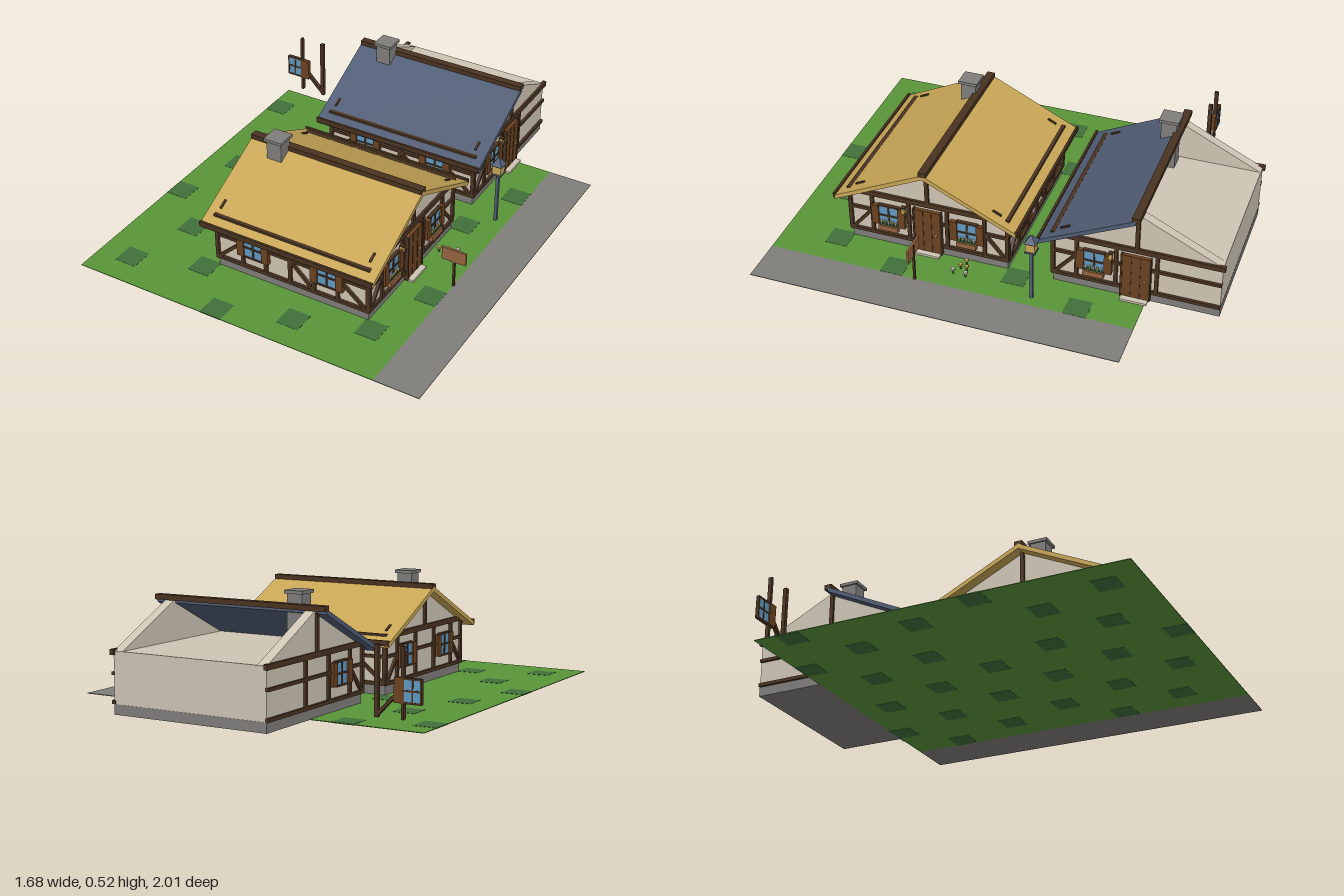
import * as THREE from 'three';

const mat = (name, color) => {
  const m = new THREE.MeshStandardMaterial({ color });
  m.name = name;
  return m;
};

export function createModel() {
  const M = {
    grass: mat('grass green', 0x5a953a), patch: mat('dark grass', 0x41703a),
    stone: mat('stone grey', 0x7f7e7b), plaster: mat('plaster cream', 0xcfc5b4),
    timber: mat('dark timber', 0x4a3321), straw: mat('straw gold', 0xc8a656),
    slate: mat('slate blue', 0x515d75), glass: mat('window blue', 0x6099c2),
    door: mat('door brown', 0x6b4220), board: mat('light wood', 0x966440),
  };
  const root = new THREE.Group();

  const group = (parent, name, x = 0, y = 0, z = 0) => {
    const g = new THREE.Group();
    g.name = name;
    g.position.set(x, y, z);
    parent.add(g);
    return g;
  };
  const mesh = (parent, name, geo, m, x = 0, y = 0, z = 0) => {
    const o = new THREE.Mesh(geo, m);
    o.name = name;
    o.position.set(x, y, z);
    parent.add(o);
    return o;
  };
  // Box given by its limits on each axis
  const box = (p, name, m, x0, x1, y0, y1, z0, z1) => mesh(p, name,
    new THREE.BoxGeometry(x1 - x0, y1 - y0, z1 - z0), m, (x0 + x1) / 2, (y0 + y1) / 2, (z0 + z1) / 2);

  // Timber along a wall, from (u0, v0) to (u1, v1)
  const beam = (p, name, u0, v0, u1, v1, w = 0.016) => {
    const o = mesh(p, name, new THREE.BoxGeometry(Math.hypot(u1 - u0, v1 - v0), w, 0.018), M.timber,
      (u0 + u1) / 2, (v0 + v1) / 2, 0.002);
    o.rotation.z = Math.atan2(v1 - v0, u1 - u0);
  };

  // Window with cross bars and two shutters
  function addWindow(p, u, flowers) {
    const g = group(p, 'window', u, 0.162, 0);
    box(g, 'pane', M.glass, -0.046, 0.046, -0.05, 0.05, 0, 0.012);
    box(g, 'uprightBar', M.timber, -0.004, 0.004, -0.05, 0.05, 0.008, 0.016);
    box(g, 'crossBar', M.timber, -0.046, 0.046, -0.004, 0.004, 0.008, 0.016);
    for (const s of [-1, 1]) {
      box(g, 'windowTrim', M.timber, -0.05, 0.05, s * 0.051 - 0.004, s * 0.051 + 0.004, 0, 0.016);
      box(g, 'shutter', M.door, s * 0.062 - 0.017, s * 0.062 + 0.017, -0.05, 0.05, 0, 0.02);
    }
    if (!flowers) return;
    box(g, 'flowerBox', M.board, -0.046, 0.046, -0.075, -0.05, 0.005, 0.028);
    for (let i = 0; i < 5; i++) {
      const x = -0.034 + i * 0.017;
      box(g, 'boxLeaves', M.patch, x - 0.005, x + 0.005, -0.05, -0.034, 0.012, 0.022);
      box(g, 'boxFlower', i % 2 ? M.straw : M.plaster, x - 0.004, x + 0.004, -0.034, -0.026, 0.012, 0.022);
    }
  }

  function addDoor(p) {
    const g = group(p, 'door');
    box(g, 'doorPanel', M.door, -0.06, 0.06, 0.012, 0.235, 0, 0.016);
    for (const s of [-1, 1]) {
      box(g, 'doorPost', M.timber, s * 0.063 - 0.004, s * 0.063 + 0.004, 0.01, 0.238, 0, 0.02);
      box(g, 'plankGap', M.timber, s * 0.02 - 0.002, s * 0.02 + 0.002, 0.015, 0.232, 0.01, 0.018);
    }
    box(g, 'doorHandle', M.straw, 0.036, 0.046, 0.11, 0.12, 0.01, 0.024);
    box(g, 'doorStep', M.plaster, -0.06, 0.06, 0.004, 0.014, 0, 0.042);
    // small wall lantern
    box(g, 'wallLantern', M.straw, -0.118, -0.104, 0.2, 0.225, 0.005, 0.022);
    box(g, 'wallLanternCap', M.timber, -0.121, -0.101, 0.225, 0.232, 0.005, 0.025);
  }

  // One timber-framed wall facing local +z; keep(u) drops details on unfinished stretches
  function facade(p, name, x, z, turn, h, o, keep = () => true) {
    const g = group(p, name, x, 0, z);
    g.rotation.y = turn;
    beam(g, 'bottomBeam', -h, 0.054, h, 0.054);
    beam(g, 'topBeam', -h - 0.01, 0.264, h + 0.01, 0.264, 0.024);
    const cuts = o.door ? [[-h, -0.065], [0.065, h]] : [[-h, h]];
    for (const [a, b] of cuts) beam(g, 'middleBeam', a, 0.174, b, 0.174, 0.014);
    for (const u of [-h, ...o.posts, h]) if (keep(u)) beam(g, 'post', u, 0.046, u, 0.255);
    for (const [a, b] of o.braces) if (keep(a)) beam(g, 'brace', a, 0.06, b, 0.168, 0.014);
    for (const u of o.windows) if (keep(u)) addWindow(g, u, o.door);
    if (o.door) addDoor(g);
    if (o.gable) beam(g, 'gablePost', 0, 0.27, 0, 0.435, 0.018);
  }

  const HX = 0.375, HZ = 0.37;
  const LONG = { posts: [-0.245, -0.128, -0.005, 0.113, 0.23], windows: [-0.187, 0.181],
    braces: [[-0.365, -0.25], [0.11, 0], [0.365, 0.235]] };
  const SIDE = { posts: [-0.265, -0.09, 0.09, 0.265], windows: [-0.185, 0.185],
    braces: [[-0.36, -0.27], [0.36, 0.27]], gable: true };

  function house(name, z, roofMat, finished) {
    const g = group(root, name, 0.055, 0, z);
    box(g, 'foundation', M.stone, -HX, HX, 0.0015, 0.046, -HZ, HZ);
    box(g, 'walls', M.plaster, -HX + 0.001, HX - 0.001, 0.046, 0.268, -HZ + 0.001, HZ - 0.001);

    // Gable walls
    const tri = new THREE.Shape([[-HZ, 0.266], [HZ, 0.266], [0, 0.447]].map(a => new THREE.Vector2(...a)));
    const gable = new THREE.ExtrudeGeometry(tri, { depth: 0.045, bevelEnabled: false });
    gable.rotateY(Math.PI / 2);
    for (const x of [-HX, HX - 0.045]) mesh(g, 'gable', gable, M.plaster, x);

    // Framed walls
    const front = u => u < 0.1, back = u => u > -0.1, all = () => true;
    facade(g, 'frontWall', 0, HZ, 0, HX, LONG);
    facade(g, 'rightWall', HX, 0, Math.PI / 2, HZ, { ...SIDE, door: true }, finished ? all : front);
    facade(g, 'leftWall', -HX, 0, -Math.PI / 2, HZ, SIDE, finished ? all : back);
    if (finished) facade(g, 'backWall', 0, -HZ, Math.PI, HX, LONG);

    // Roof slopes with eave trim and timber ends showing through
    for (const s of finished ? [1, -1] : [1]) {
      const slope = group(g, 'roofSlope');
      if (s < 0) slope.rotation.y = Math.PI;
      const sec = new THREE.Shape([[0, 0.452], [0, 0.43], [-0.425, 0.224], [-0.425, 0.245]]
        .map(a => new THREE.Vector2(...a)));
      const geo = new THREE.ExtrudeGeometry(sec, { depth: 0.85, bevelEnabled: false });
      geo.rotateY(Math.PI / 2);
      mesh(slope, 'roof', geo, roofMat, -0.425);
      box(slope, 'eaveTrim', M.timber, -0.425, 0.425, 0.232, 0.256, 0.421, 0.432);
      for (const x of [-0.373, 0.365]) {
        const t = box(slope, 'rafterEnd', M.timber, x - 0.005, x + 0.005, 0.293, 0.301, 0.3, 0.345);
        t.rotation.x = 0.455;
      }
    }
    box(g, 'ridgeBeam', M.timber, -0.425, 0.425, 0.442, 0.465, -0.018, 0.018);
    box(g, 'chimney', M.stone, -0.305, -0.232, 0.27, 0.506, 0.005, 0.076);
    box(g, 'chimneyCap', M.stone, -0.313, -0.224, 0.505, 0.519, -0.005, 0.086);
  }
  house('frontHouse', 0.32, M.straw, true);
  house('backHouse', -0.63, M.slate, false);

  // Ground, chequered patches and road
  box(root, 'lawn', M.grass, -0.84, 0.63, 0.001, 0.004, -0.68, 1);
  box(root, 'road', M.stone, 0.63, 0.84, 0.001, 0.004, -0.68, 1);
  for (let i = 0; i < 14; i++) for (let j = 0; j < 16; j++) {
    if ((5 * i + 17 - j) % 8 || (i === 3 && j === 8)) continue;
    const x = -0.84 + i * 0.105, z = -0.68 + j * 0.105;
    box(root, 'grassPatch', M.patch, x, x + 0.105, 0, 0.005, z, z + 0.105);
  }

  // Loose wall section standing in the back left corner
  const loose = group(root, 'looseWallSection', 0, 0, -0.68);
  box(loose, 'loosePane', M.glass, -0.83, -0.765, 0.114, 0.212, -0.006, 0.006);
  box(loose, 'loosePane', M.glass, -0.775, -0.738, 0.114, 0.212, -0.006, 0.006);
  box(loose, 'looseShutter', M.door, -0.755, -0.71, 0.112, 0.214, -0.008, 0.012);
  box(loose, 'looseBar', M.timber, -0.795, -0.788, 0.114, 0.212, -0.008, 0.008);
  for (const y of [0.115, 0.163, 0.211]) box(loose, 'looseBar', M.timber, -0.832, -0.745, y - 0.004, y + 0.004, -0.008, 0.008);
  box(loose, 'looseTrim', M.timber, -0.832, -0.825, 0.114, 0.212, -0.008, 0.008);
  beam(loose, 'loosePost', -0.748, 0.046, -0.748, 0.337, 0.012);
  beam(loose, 'loosePost', -0.63, 0.046, -0.63, 0.337, 0.018);
  beam(loose, 'looseBrace', -0.735, 0.162, -0.63, 0.055, 0.014);

  // Street lamp
  const lamp = group(root, 'streetLamp', 0.575, 0, -0.21);
  box(lamp, 'lampPost', M.slate, -0.007, 0.007, 0.004, 0.262, -0.007, 0.007);
  box(lamp, 'lampBase', M.slate, -0.024, 0.024, 0.257, 0.265, -0.024, 0.024);
  box(lamp, 'lampLight', M.straw, -0.021, 0.021, 0.265, 0.308, -0.021, 0.021);
  const cap = new THREE.ConeGeometry(0.038, 0.037, 4).rotateY(Math.PI / 4).toNonIndexed();
  cap.computeVertexNormals();
  mesh(lamp, 'lampRoof', cap, M.slate, 0, 0.3265, 0);

  // Signboard
  const sign = group(root, 'sign', 0.63, 0, 0.31);
  box(sign, 'signPost', M.timber, -0.005, 0.005, 0.004, 0.19, -0.006, 0.004);
  box(sign, 'signBoard', M.board, -0.057, 0.057, 0.135, 0.197, -0.003, 0.007);

  // Flowers by the door
  [[0.505, 0.115], [0.545, 0.105], [0.5, 0.145], [0.54, 0.165], [0.465, 0.13]].forEach(([x, z], i) => {
    const f = group(root, 'flower', x, 0, z);
    box(f, 'stem', M.patch, -0.003, 0.003, 0.004, 0.024, -0.003, 0.003);
    box(f, 'bloom', i % 2 ? M.plaster : M.straw, -0.008, 0.008, 0.023, 0.033, -0.008, 0.008);
  });
  return root;
}
